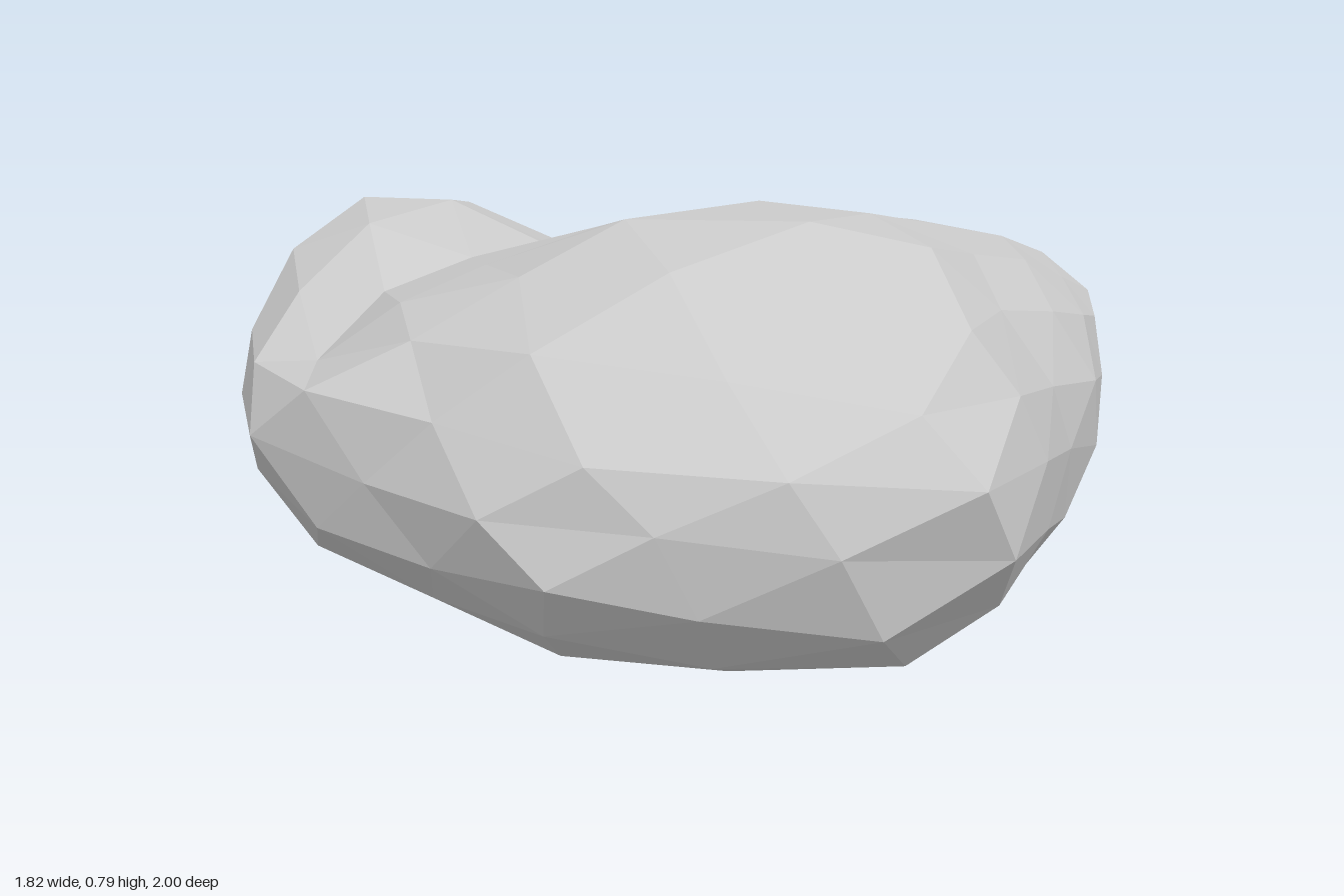
import * as THREE from 'three';
import { mergeVertices } from 'three/addons/utils/BufferGeometryUtils.js';

const { clamp } = THREE.MathUtils;

// Plan outline of the boulder as [x, z], going round from the back
const OUTLINE = [
  [0, -1.01], [0.3, -0.96], [0.58, -0.82], [0.79, -0.62], [0.9, -0.37], [0.91, -0.15],
  [0.75, 0.15], [0.65, 0.33], [0.52, 0.51], [0.41, 0.6], [0.25, 0.8], [0.12, 0.95],
  [-0.02, 1.03], [-0.33, 0.93], [-0.6, 0.78], [-0.67, 0.69], [-0.73, 0.52], [-0.92, 0.2],
  [-0.88, -0.1], [-0.8, -0.38], [-0.71, -0.63], [-0.59, -0.77], [-0.32, -0.94],
];

// Floor of the groove between the front hump and the back mound
const GROOVE = [[-0.8, 0.08], [-0.42, -0.04], [-0.13, -0.43], [0.02, -0.72]];

const cross = (a, b) => a[0] * b[1] - a[1] * b[0];

// Distance from the centre to the outline along direction d
function outlineRadius(d) {
  for (let i = 0; i < OUTLINE.length; i++) {
    const a = OUTLINE[i], b = OUTLINE[(i + 1) % OUTLINE.length];
    if (cross(a, d) >= -1e-9 && cross(d, b) >= -1e-9) {
      return cross(a, b) / cross(d, [b[0] - a[0], b[1] - a[1]]);
    }
  }
  return 0.9;
}

// Soft bump centred on (cx, cz)
const bump = (x, z, cx, cz, w) => Math.exp(-((x - cx) ** 2 + (z - cz) ** 2) / (w * w));

// Strength of the groove: 1 on its floor line, fading to the sides
function groove(x, z) {
  let best = 0;
  for (let i = 0; i < GROOVE.length - 1; i++) {
    const [ax, az] = GROOVE[i];
    const dx = GROOVE[i + 1][0] - ax, dz = GROOVE[i + 1][1] - az;
    const s = clamp(((x - ax) * dx + (z - az) * dz) / (dx * dx + dz * dz), 0, 1);
    best = Math.max(best, bump(x, z, ax + s * dx, az + s * dz, 0.13));
  }
  return best;
}

// Repeatable unevenness between -1 and 1
function jitter(i, seed) {
  const n = Math.sin(i * 12.9898 + seed * 78.233) * 43758.5453;
  return (n - Math.floor(n)) * 2 - 1;
}

// Top: high sloping hump in front, flatter with a steeper edge at the back
function topHeight(x, z, h, rim) {
  const crown = clamp(0.74 + 0.22 * z, 0.65, 0.86) + 0.01 * bump(x, z, -0.15, 0.4, 0.3);
  const mound = 0.145 * bump(x, z, -0.54, -0.52, 0.3) + 0.05 * bump(x, z, -0.28, -0.75, 0.22);
  return rim + (crown - rim) * h ** Math.max(0.7, 0.95 + 0.4 * z)
    + Math.min(1, h * 2) * (mound - 0.08 * groove(x, z));
}

// Underside: shallow bowl, cut away on both flanks and at the back
function bottomHeight(x, z, h, rim) {
  const cut = 0.05 * clamp((x - 0.4) / 0.2, 0, 1) + 0.03 * clamp((-x - 0.45) / 0.3, 0, 1)
    + 0.03 * clamp((-z - 0.35) / 0.2, 0, 1);
  const keel = 0.04 * bump(x, z, 0.35, -0.15, 0.25) + 0.02 * clamp(z * 2, 0, 1);
  return rim * (1 - h ** 0.85) + Math.min(1, h * 3) * (cut - keel);
}

// Moves a point of the unit sphere onto the boulder
function shape(p, i) {
  const t = Math.hypot(p.x, p.z);
  const r = t > 1e-6 ? outlineRadius([p.x / t, p.z / t]) * Math.min(1, t * 1.015) / t : 0;
  const spread = 1 + 0.05 * jitter(i, 1) * (1 - t);
  const x = p.x * r * spread, z = p.z * r * spread;
  const rim = 0.4 + Math.abs(x) * (0.06 - 0.1 * clamp(z * 2, 0, 1));
  const height = p.y >= 0 ? topHeight : bottomHeight;
  const y = height(x, z, Math.abs(p.y), rim) + 0.008 * jitter(i, 2);
  p.set(x, Math.max(0, y), z);
}

export function createModel() {
  // Faceted ball with shared corners, tilted so no row of edges lines up with an axis
  const ball = new THREE.IcosahedronGeometry(1, 3);
  ball.deleteAttribute('normal');
  ball.deleteAttribute('uv');
  const shared = mergeVertices(ball, 1e-4);
  shared.rotateY(0.35).rotateZ(0.25);

  const pos = shared.attributes.position;
  const p = new THREE.Vector3();
  for (let i = 0; i < pos.count; i++) {
    shape(p.fromBufferAttribute(pos, i), i);
    pos.setXYZ(i, p.x, p.y, p.z);
  }
  const geometry = shared.toNonIndexed();
  geometry.computeVertexNormals();

  const boulder = new THREE.Mesh(
    geometry,
    new THREE.MeshStandardMaterial({ color: 0xcccccc, flatShading: true }),
  );
  boulder.name = 'boulder';

  const group = new THREE.Group();
  group.name = 'rock';
  group.add(boulder);
  return group;
}
